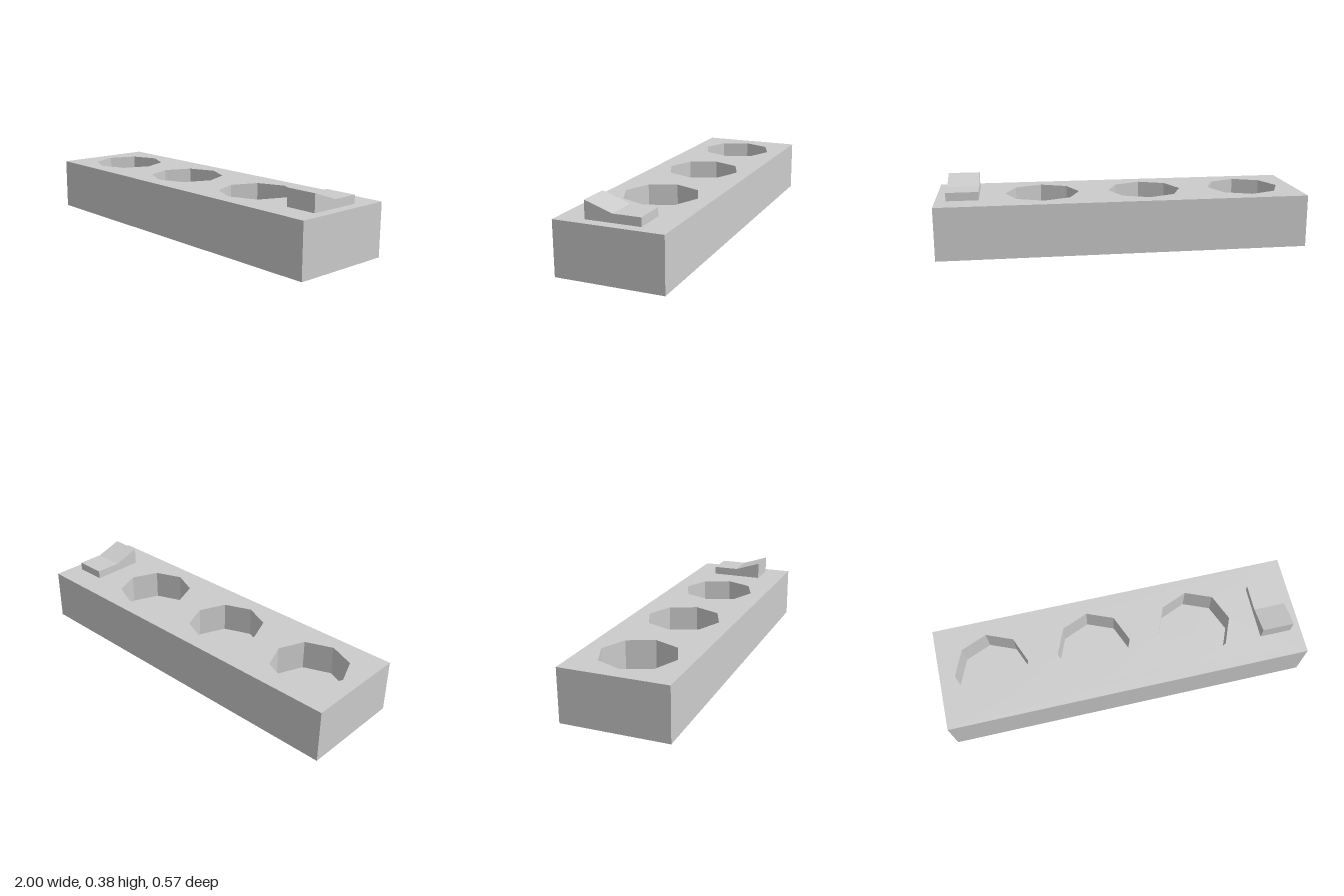
import * as THREE from 'three';

const W = 2, H = 0.286, D = 0.572;
const CUP_R = 0.203, CUP_DEPTH = 0.16;
const CUP_X = [-0.714, -0.143, 0.428];

export function createModel() {
  const group = new THREE.Group();
  const mat = new THREE.MeshStandardMaterial({ color: 0xcccccc, flatShading: true, side: THREE.DoubleSide });

  const add = (name, geometry, x = 0, y = 0, z = 0) => {
    const mesh = new THREE.Mesh(geometry, mat);
    mesh.name = name;
    mesh.position.set(x, y, z);
    group.add(mesh);
    return mesh;
  };

  // Thin outer walls, open underneath
  for (const s of [1, -1]) {
    add(s > 0 ? 'frontWall' : 'backWall', new THREE.PlaneGeometry(W, H), 0, H / 2, s * D / 2)
      .rotation.y = s > 0 ? 0 : Math.PI;
    add(s > 0 ? 'leftWall' : 'rightWall', new THREE.PlaneGeometry(D, H), s * W / 2, H / 2, 0)
      .rotation.y = s * Math.PI / 2;
  }

  // Top plate with three octagonal openings
  const plate = new THREE.Shape([[-1, -1], [1, -1], [1, 1], [-1, 1]]
    .map(([x, y]) => new THREE.Vector2(x * W / 2, y * D / 2)));
  for (const cx of CUP_X) {
    const ring = [];
    for (let i = 0; i < 8; i++) {
      const a = -i * Math.PI / 4;
      ring.push(new THREE.Vector2(cx + CUP_R * Math.cos(a), CUP_R * Math.sin(a)));
    }
    plate.holes.push(new THREE.Path(ring));
  }
  add('topPlate', new THREE.ShapeGeometry(plate).rotateX(-Math.PI / 2), 0, H, 0);

  // Sunken cups: eight-sided wall and flat floor
  for (const cx of CUP_X) {
    add('cupWall', new THREE.CylinderGeometry(CUP_R, CUP_R, CUP_DEPTH, 8, 1, true), cx, H - CUP_DEPTH / 2, 0);
    add('cupFloor', new THREE.CircleGeometry(CUP_R, 8).rotateX(-Math.PI / 2), cx, H - CUP_DEPTH, 0);
  }

  // Rocker switch: flat at the back, rising to the front (profile in z, y)
  const profile = new THREE.Shape([[0.146, 0], [0.146, 0.094], [0, 0.045], [-0.146, 0.045], [-0.146, 0]]
    .map(([z, y]) => new THREE.Vector2(z, y)));
  const rocker = new THREE.ExtrudeGeometry(profile, { depth: 0.172, bevelEnabled: false });
  rocker.translate(0, 0, -0.086).rotateY(-Math.PI / 2);
  add('rockerSwitch', rocker, 0.857, H, 0);

  return group;
}
